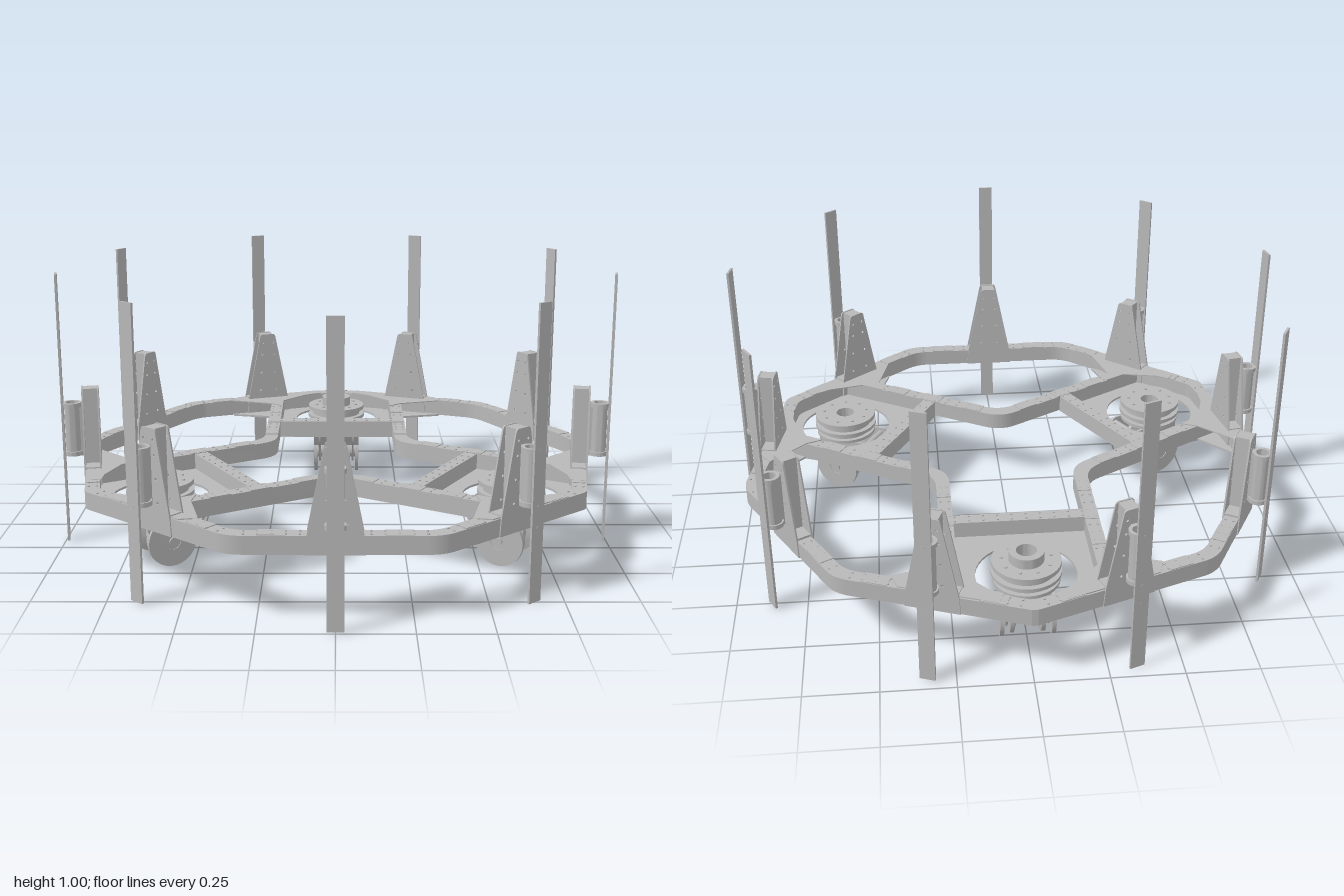
import * as THREE from 'three';
import { mergeGeometries, toCreasedNormals } from 'three/addons/utils/BufferGeometryUtils.js';

const CENTRE_Z = -0.01, LOW = 0.238, HIGH = 0.3;
const metal = new THREE.MeshStandardMaterial({ color: 0xb8b8b8 });
metal.name = 'bare aluminium';

function add(parent, name, geometry, x = 0, y = 0, z = 0) {
  const mesh = new THREE.Mesh(geometry, metal);
  mesh.name = name;
  mesh.position.set(x, y, z);
  parent.add(mesh);
  return mesh;
}
const box = (w, h, d) => new THREE.BoxGeometry(w, h, d);
const cyl = (r, h, n = 32) => new THREE.CylinderGeometry(r, r, h, n);

// Closed counter-clockwise outline; a point's third value is its corner radius
function outline(points, Type = THREE.Shape) {
  const path = new Type();
  points.forEach((p, i) => {
    const corner = new THREE.Vector2(p[0], p[1]);
    const r = p[2] || 0;
    const towards = (q) => new THREE.Vector2(q[0], q[1]).sub(corner).setLength(r).add(corner);
    const a = towards(points.at(i - 1)), b = towards(points[(i + 1) % points.length]);
    if (i === 0) path.moveTo(a.x, a.y);
    else path.lineTo(a.x, a.y);
    if (r) path.quadraticCurveTo(corner.x, corner.y, b.x, b.y);
  });
  path.closePath();
  return path;
}
const circle = (x, y, r) => new THREE.Path().absarc(x, y, r, 0, Math.PI * 2, true);

// Horizontal plate: shape y points to the back
function slab(shape, y0, y1) {
  const g = new THREE.ExtrudeGeometry(shape, { depth: y1 - y0, bevelEnabled: false, curveSegments: 20 });
  return toCreasedNormals(g.rotateX(-Math.PI / 2).translate(0, y0, 0), 0.5);
}

function nonagon(inradius, Type) {
  const R = inradius / Math.cos(Math.PI / 9), points = [];
  for (let i = 0; i < 9; i++) {
    const a = i * Math.PI * 2 / 9;
    points.push([-R * Math.sin(a), R * Math.cos(a), i % 3 ? 0.05 : 0.02]);
  }
  return outline(points, Type);
}

// Lathe profile of [radius, height], sharp edges kept
function turned(points) {
  const g = new THREE.LatheGeometry(points.map((p) => new THREE.Vector2(...p)), 40);
  return toCreasedNormals(g, 0.5);
}
const ringTube = (inner, outer, h) => turned([[inner, -h / 2], [outer, -h / 2], [outer, h / 2], [inner, h / 2], [inner, -h / 2]]);

// Double rows of rivet heads along a straight beam
function rivetRows(x0, z0, x1, z1, count, gap = 0.014) {
  const heads = [], len = Math.hypot(x1 - x0, z1 - z0);
  const nx = -(z1 - z0) / len * gap, nz = (x1 - x0) / len * gap;
  for (let i = 0; i < count; i++) {
    const t = (i + 0.5) / count;
    for (const s of [-1, 1]) {
      heads.push(cyl(0.0045, 0.004, 6).translate(x0 + (x1 - x0) * t + s * nx, HIGH + 0.002, z0 + (z1 - z0) * t + s * nz));
    }
  }
  return mergeGeometries(heads);
}

// One third of the inner frame, its bay at the back
function buildBay() {
  const bay = new THREE.Group();
  bay.name = 'wheelBay';
  const c = Math.sin(Math.PI / 3);

  // V-shaped beam linking the other two bays
  const edge = (o) => {
    const v = -o / c, L = 0.87 - o * 0.577;
    return [[-L * c, v - L / 2], [0, v, 0.07], [L * c, v - L / 2]];
  };
  add(bay, 'linkBeam', slab(outline([...edge(0.28), ...edge(0.23).reverse()]), LOW, HIGH));
  add(bay, 'crossBeam', box(0.47, HIGH - LOW, 0.05), 0, (HIGH + LOW) / 2, -0.455);
  add(bay, 'crossBeamRivets', rivetRows(-0.25, -0.455, 0.25, -0.455, 10));

  // Floor plate with the round wheel opening
  const half = [[0.24, 0.43], [0.28, 0.73], [0.45, 0.77], [0.43, 0.825], [0, 0.98]];
  const floor = outline([...half, ...half.slice(0, 4).reverse().map(([x, y]) => [-x, y])]);
  floor.holes.push(circle(0, 0.715, 0.172));
  add(bay, 'floorPlate', slab(floor, LOW - 0.004, LOW + 0.004));

  for (const s of [-1, 1]) {
    // Gussets on top of the corner joints
    const gusset = [[0.23, 0.68], [0.28, 0.72], [0.45, 0.77], [0.43, 0.83], [0.11, 0.945], [0.09, 0.9], [0.14, 0.87], [0.23, 0.77]];
    add(bay, 'gusset', slab(outline(gusset.map(([x, y]) => [s * x, y])), HIGH, HIGH + 0.004));
    add(bay, 'sideRivets', rivetRows(s * 0.255, -0.84, s * 0.255, -0.22, 13));
    for (const z of [-0.61, -0.455, -0.27]) add(bay, 'splicePlate', box(0.05, 0.004, 0.08), s * 0.255, HIGH + 0.001, z);
  }
  return bay;
}

// Steered wheel unit hanging in its opening
function buildWheelUnit(withCap) {
  const unit = new THREE.Group();
  unit.name = 'wheelUnit';
  unit.position.z = -0.715;

  // Stacked turntable discs
  add(unit, 'turntable', turned([[0.035, 0.222], [0.115, 0.222], [0.115, 0.234], [0.098, 0.234], [0.098, 0.252], [0.12, 0.252],
    [0.12, 0.265], [0.1, 0.265], [0.1, 0.286], [0.118, 0.286], [0.118, 0.302], [0.035, 0.302], [0.035, 0.222]]));
  const bolts = [];
  for (let i = 0; i < 9; i++) {
    const a = i * Math.PI * 2 / 9;
    bolts.push(cyl(0.006, 0.005, 8).translate(0.085 * Math.sin(a), 0.304, 0.085 * Math.cos(a)));
  }
  add(unit, 'turntableBolts', mergeGeometries(bolts));
  if (withCap) add(unit, 'sensorCap', ringTube(0.035, 0.06, 0.038), 0, 0.319);

  // Spool-shaped wheel on a sideways axle, with outer discs
  const wheel = turned([[0.022, -0.06], [0.08, -0.06], [0.08, -0.046], [0.05, -0.036], [0.05, 0.036],
    [0.08, 0.046], [0.08, 0.06], [0.022, 0.06], [0.022, -0.06]]);
  add(unit, 'wheel', wheel.rotateZ(Math.PI / 2), 0, 0.098, 0.003);
  const disc = ringTube(0.03, 0.09, 0.014).rotateZ(Math.PI / 2);
  for (const x of [-0.088, 0.088]) add(unit, 'outerDisc', disc, x, 0.098, 0.003);
  add(unit, 'axle', cyl(0.031, 0.184, 24).rotateZ(Math.PI / 2), 0, 0.098, 0.003);
  add(unit, 'axlePin', cyl(0.014, 0.2, 16).rotateZ(Math.PI / 2), 0, 0.098, 0.003);

  // Fork cheeks and the sloping inner bracket
  const cheek = outline([[-0.14, 0.165, 0.008], [-0.1, 0.14, 0.02], [-0.055, 0.055, 0.03], [0.045, 0.055, 0.03],
    [0.085, 0.15, 0.03], [0.08, 0.224], [-0.125, 0.222, 0.008], [-0.15, 0.2, 0.008]]);
  cheek.holes.push(circle(-0.115, 0.185, 0.01));
  const cheekGeometry = toCreasedNormals(new THREE.ExtrudeGeometry(cheek, { depth: 0.008, bevelEnabled: false })
    .rotateY(Math.PI / 2), 0.5);
  for (const x of [-0.075, 0.067]) add(unit, 'forkCheek', cheekGeometry, x);
  add(unit, 'forkBracket', box(0.19, 0.07, 0.01), 0, 0.183, 0.13).rotation.x = 0.5;
  add(unit, 'forkBar', cyl(0.012, 0.18, 16).rotateZ(Math.PI / 2), 0, 0.2, 0.12);
  return unit;
}

// Tower with roller tube and upright bar, facing +z
function buildTower() {
  const tower = new THREE.Group();
  tower.name = 'tower';
  const side = outline([[-0.095, 0.238], [0.095, 0.238], [0.09, 0.3], [0.032, 0.588, 0.012], [-0.032, 0.588, 0.012], [-0.09, 0.3]]);
  for (const y of [0.34, 0.42, 0.5, 0.55]) for (const s of [-1, 1]) side.holes.push(circle(s * (0.075 - 0.11 * (y - 0.24)) * 0.55, y, 0.005));
  const plate = toCreasedNormals(new THREE.ExtrudeGeometry(side, { depth: 0.006, bevelEnabled: false, curveSegments: 4 }), 0.5);
  for (const z of [0.874, 0.93]) add(tower, 'towerPlate', plate, 0, 0, z);
  add(tower, 'towerColumn', box(0.05, 0.285, 0.05), 0, 0.443, 0.905);
  add(tower, 'towerFoot', box(0.17, 0.008, 0.05), 0, 0.304, 0.905);

  // Roller tube between tower and bar
  add(tower, 'rollerTube', ringTube(0.022, 0.028, 0.18), 0, 0.435, 0.972);
  for (const y of [0.345, 0.525]) add(tower, 'rollerClip', ringTube(0.022, 0.034, 0.016), 0, y, 0.972);
  add(tower, 'rollerNeck', box(0.022, 0.2, 0.014), 0, 0.433, 0.942);
  add(tower, 'uprightBar', box(0.054, 0.99, 0.008), 0, 0.508, 1.006);
  for (const y of [0.27, 0.34, 0.53]) add(tower, 'barBolt', cyl(0.006, 0.003, 8).rotateX(Math.PI / 2), 0, y, 1.0095);
  return tower;
}

export function createModel() {
  const model = new THREE.Group();
  model.name = 'wheeledFrame';
  const body = new THREE.Group();
  body.name = 'body';
  body.position.z = CENTRE_Z;
  model.add(body);

  // Nine-sided outer ring
  const ring = nonagon(0.932);
  ring.holes.push(nonagon(0.88, THREE.Path));
  add(body, 'outerRing', slab(ring, LOW, HIGH));

  for (let i = 0; i < 9; i++) {
    const side = new THREE.Group();
    side.name = 'ringSide';
    side.rotation.y = i * Math.PI * 2 / 9;
    side.add(buildTower());
    add(side, 'ringRivets', rivetRows(-0.31, 0.905, 0.31, 0.905, 14));
    for (const x of [-0.2, 0.2]) add(side, 'ringSplice', box(0.09, 0.004, 0.05), x, HIGH + 0.001, 0.905);
    body.add(side);
  }
  for (let i = 0; i < 3; i++) {
    const bay = buildBay();
    bay.rotation.y = i * Math.PI * 2 / 3;
    bay.add(buildWheelUnit(i === 0));
    body.add(bay);
  }
  return model;
}
